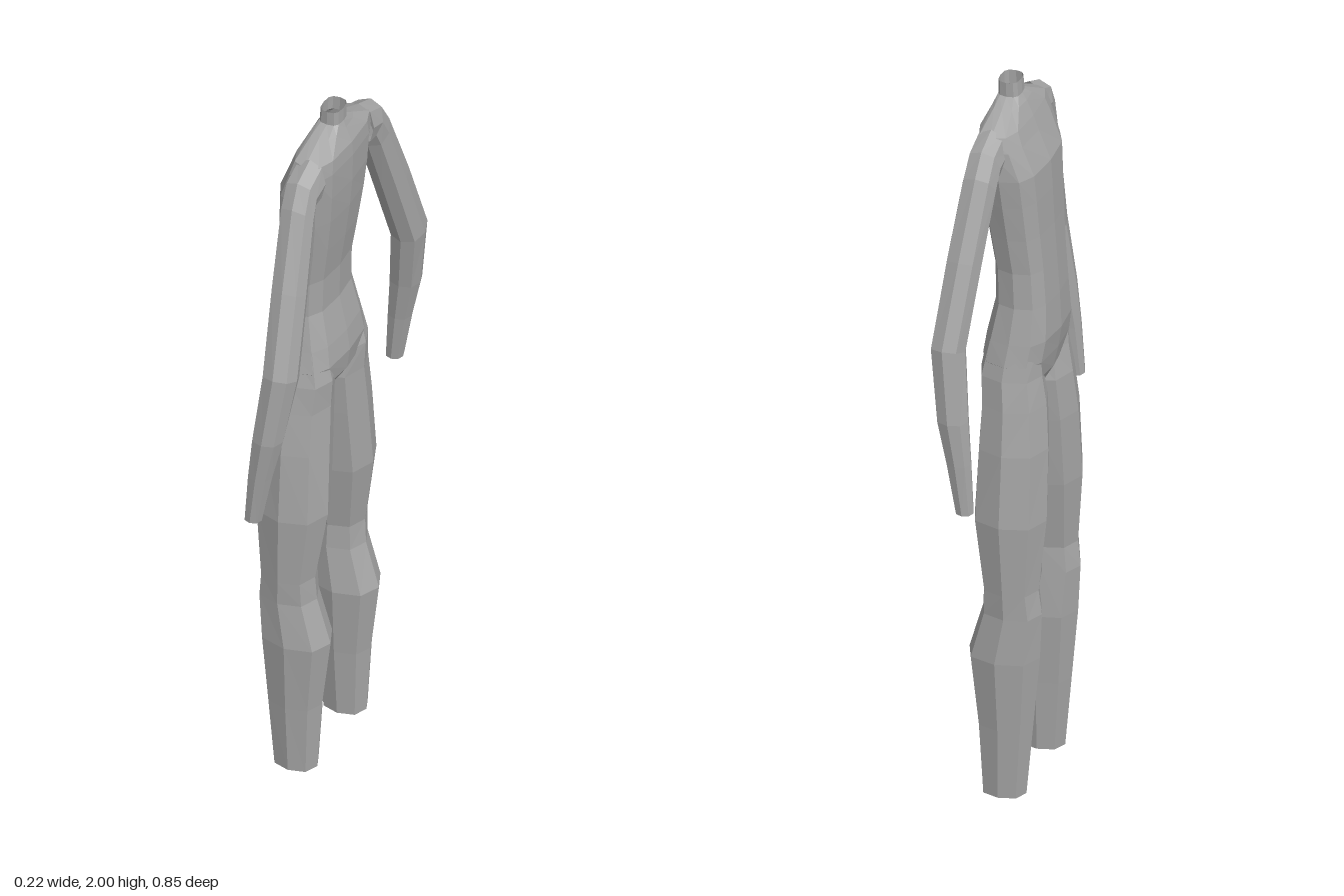
import * as THREE from 'three';

// Lofts a skin through oval rings, open at both ends.
// Each ring: [innerY, innerZ, outerY, outerZ, frontX, backX]; the body faces -x.
function loft(rings, sides, power, mirror = 1) {
  const pos = [], index = [];
  const soft = v => Math.sign(v) * Math.pow(Math.abs(v), power);
  for (const [yi, zi, yo, zo, xf, xb] of rings) {
    for (let i = 0; i < sides; i++) {
      const a = (i / sides) * Math.PI * 2;
      const c = Math.abs(Math.cos(a)) < 1e-6 ? 0 : soft(Math.cos(a));
      const s = Math.abs(Math.sin(a)) < 1e-6 ? 0 : soft(Math.sin(a));
      pos.push(
        (xf + xb) / 2 + (c * (xb - xf)) / 2,
        (yi + yo) / 2 + (s * (yo - yi)) / 2,
        mirror * ((zi + zo) / 2 + (s * (zo - zi)) / 2)
      );
    }
  }
  for (let j = 0; j < rings.length - 1; j++) {
    for (let i = 0; i < sides; i++) {
      const k = (i + 1) % sides;
      const a = j * sides + i, b = j * sides + k, c = a + sides, d = b + sides;
      if (mirror > 0) index.push(a, b, c, b, d, c);
      else index.push(a, c, b, b, c, d);
    }
  }
  const g = new THREE.BufferGeometry();
  g.setAttribute('position', new THREE.Float32BufferAttribute(pos, 3));
  g.setIndex(index);
  g.computeVertexNormals();
  return g;
}

export function createModel() {
  const group = new THREE.Group();
  const skin = new THREE.MeshStandardMaterial({ color: 0xa6a6a6, flatShading: true, side: THREE.DoubleSide });
  skin.name = 'grey skin';
  const add = (name, geometry) => {
    const m = new THREE.Mesh(geometry, skin);
    m.name = name;
    group.add(m);
  };

  // Neck and torso: [height, half width, front x, back x]
  const torso = [
    [2.0, 0.036, 0.003, 0.06],
    [1.96, 0.036, 0.0, 0.06],
    [1.94, 0.075, -0.012, 0.067],
    [1.9, 0.155, -0.03, 0.084],
    [1.86, 0.165, -0.045, 0.087],
    [1.78, 0.16, -0.078, 0.085],
    [1.7, 0.15, -0.083, 0.078],
    [1.6, 0.138, -0.088, 0.065],
    [1.5, 0.128, -0.095, 0.05],
    [1.4, 0.13, -0.102, 0.048],
    [1.3, 0.147, -0.107, 0.07],
    [1.24, 0.158, -0.098, 0.078],
    [1.18, 0.11, -0.085, 0.07],
    [1.12, 0.018, -0.05, 0.03]
  ];
  add('torso', loft(torso.map(([y, w, f, b]) => [y, -w, y, w, f, b]), 12, 0.7));

  const arm = [
    [1.79, 0.135, 1.915, 0.135, -0.012, 0.078],
    [1.79, 0.165, 1.885, 0.205, -0.012, 0.078],
    [1.75, 0.182, 1.825, 0.242, -0.01, 0.082],
    [1.58, 0.238, 1.62, 0.325, 0.003, 0.097],
    [1.37, 0.31, 1.4, 0.405, 0.018, 0.11],
    [1.2, 0.342, 1.2, 0.425, 0.0, 0.083],
    [1.08, 0.358, 1.08, 0.422, -0.01, 0.055],
    [0.94, 0.37, 0.94, 0.418, -0.018, 0.028]
  ];

  // Legs: [height, inner z, outer z, front x, back x]
  const leg = [
    [1.3, 0.045, 0.145, -0.085, 0.055],
    [1.2, 0.02, 0.166, -0.09, 0.076],
    [1.12, 0.006, 0.18, -0.102, 0.071],
    [1.0, 0.016, 0.198, -0.112, 0.075],
    [0.8, 0.038, 0.215, -0.115, 0.08],
    [0.6, 0.073, 0.206, -0.098, 0.05],
    [0.53, 0.07, 0.203, -0.106, 0.054],
    [0.4, 0.06, 0.21, -0.1, 0.092],
    [0.2, 0.076, 0.196, -0.082, 0.068],
    [0.0, 0.088, 0.186, -0.064, 0.055]
  ].map(([y, i, o, f, b]) => [y, i, y, o, f, b]);

  for (const [side, m] of [['right', -1], ['left', 1]]) {
    add(side + 'Arm', loft(arm, 8, 0.85, m));
    add(side + 'Leg', loft(leg, 8, 0.85, m));
  }
  return group;
}
